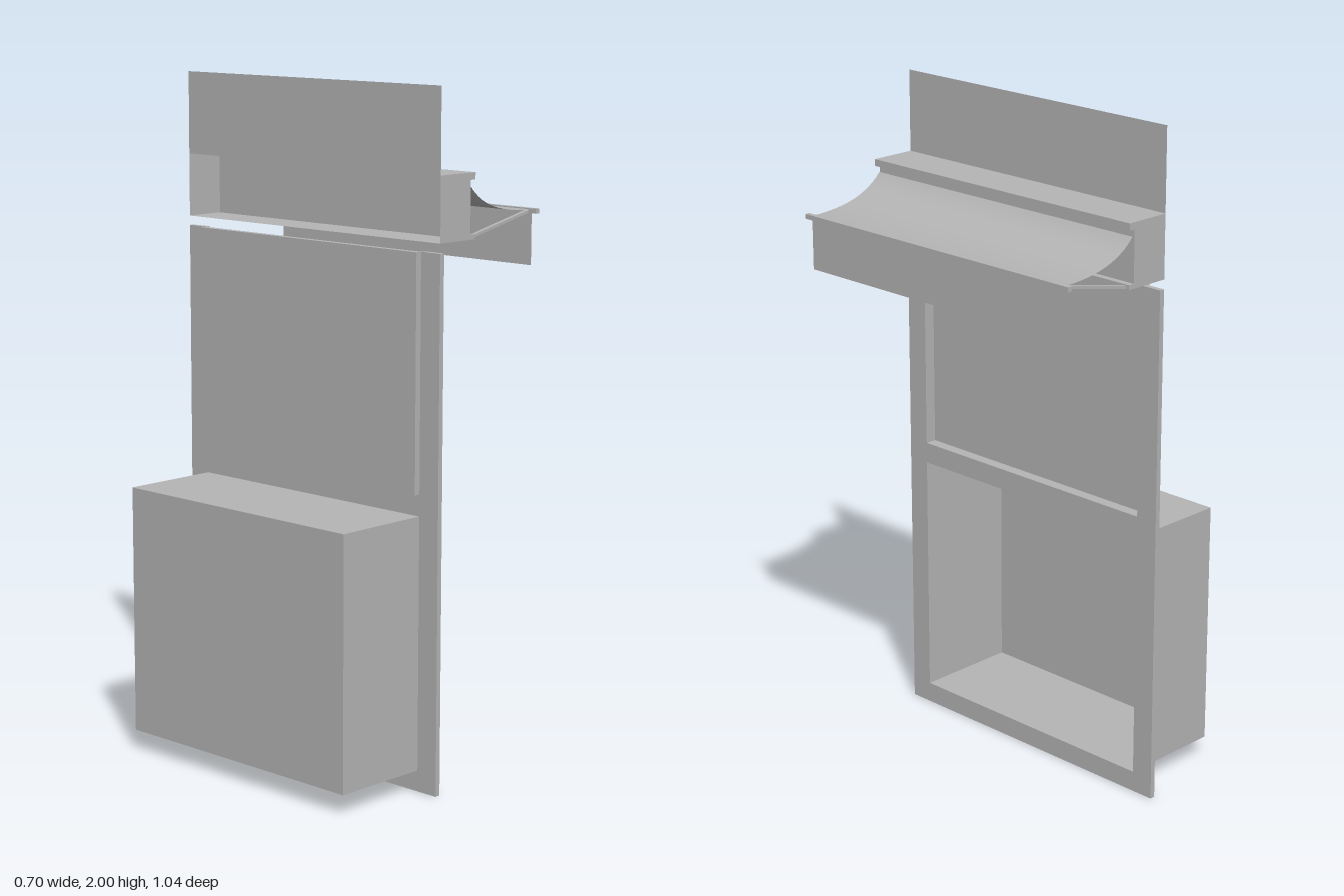
import * as THREE from 'three';

export function createModel() {
  const group = new THREE.Group();
  const grey = new THREE.MeshStandardMaterial({ color: 0xb4b4b4, side: THREE.DoubleSide });
  grey.name = 'plain grey';

  const add = (name, geometry) => {
    const mesh = new THREE.Mesh(geometry, grey);
    mesh.name = name;
    group.add(mesh);
    return mesh;
  };

  // Box given by its extents on x, y and z
  const boxGeometry = ([x0, x1], [y0, y1], [z0, z1]) =>
    new THREE.BoxGeometry(x1 - x0, y1 - y0, z1 - z0)
      .translate((x0 + x1) / 2, (y0 + y1) / 2, (z0 + z1) / 2);
  const box = (name, x, y, z) => add(name, boxGeometry(x, y, z));

  // Thin-walled box with one face left out (0 = +x, 1 = -x)
  const shell = (name, x, y, z, openFace) => {
    const geometry = boxGeometry(x, y, z);
    const index = Array.from(geometry.index.array);
    index.splice(openFace * 6, 6);
    geometry.clearGroups();
    geometry.setIndex(index);
    return add(name, geometry);
  };

  // Upright sheet in the yz plane
  const sheet = (name, x, y0, y1, halfWidth) =>
    add(name, new THREE.PlaneGeometry(halfWidth * 2, y1 - y0)
      .rotateY(Math.PI / 2).translate(x, (y0 + y1) / 2, 0));

  // Front frame: two posts and two rails
  const frameX = [-0.048, -0.032];
  box('leftPost', frameX, [0, 1.545], [0.43, 0.5]);
  box('rightPost', frameX, [0, 1.545], [-0.5, -0.43]);
  box('bottomRail', frameX, [0, 0.062], [-0.43, 0.43]);
  box('middleRail', frameX, [0.802, 0.865], [-0.43, 0.43]);

  // Display box and shallow upper panel, both open to the front frame
  shell('displayBox', [-0.352, -0.048], [0.062, 0.802], [-0.43, 0.43], 0);
  shell('upperPanel', [-0.067, -0.048], [0.865, 1.545], [-0.43, 0.43], 0);

  // Awning casing, open at the back, with two lips
  shell('casing', [-0.048, 0.075], [1.573, 1.758], [-0.5, 0.5], 1);
  box('topLip', [0.075, 0.094], [1.738, 1.758], [-0.5, 0.5]);
  box('bottomLip', [0.075, 0.094], [1.573, 1.587], [-0.5, 0.5]);

  // Sign board above the casing
  sheet('signBoard', -0.048, 1.758, 2, 0.5);

  // Sagging awning cloth
  const sag = new THREE.QuadraticBezierCurve(
    new THREE.Vector2(0.08, 1.718),
    new THREE.Vector2(0.15, 1.637),
    new THREE.Vector2(0.336, 1.637)
  );
  const cloth = new THREE.PlaneGeometry(1, 1, 16, 1);
  const position = cloth.attributes.position;
  for (let i = 0; i < position.count; i++) {
    const p = sag.getPoint(position.getX(i) + 0.5);
    position.setXYZ(i, p.x, p.y, -position.getY(i) * 0.994);
  }
  cloth.computeVertexNormals();
  add('awningCloth', cloth);

  // Front bar and hanging valance
  box('frontBar', [0.335, 0.35], [1.626, 1.64], [-0.518, 0.518]);
  sheet('valance', 0.342, 1.478, 1.63, 0.497);

  // Support arms
  const start = new THREE.Vector2(0.085, 1.577);
  const end = new THREE.Vector2(0.34, 1.632);
  const along = end.clone().sub(start);
  for (const side of [1, -1]) {
    const arm = add(side > 0 ? 'leftArm' : 'rightArm',
      new THREE.BoxGeometry(along.length(), 0.008, 0.012));
    arm.position.set((start.x + end.x) / 2, (start.y + end.y) / 2, side * 0.485);
    arm.rotation.z = along.angle();
  }

  return group;
}
